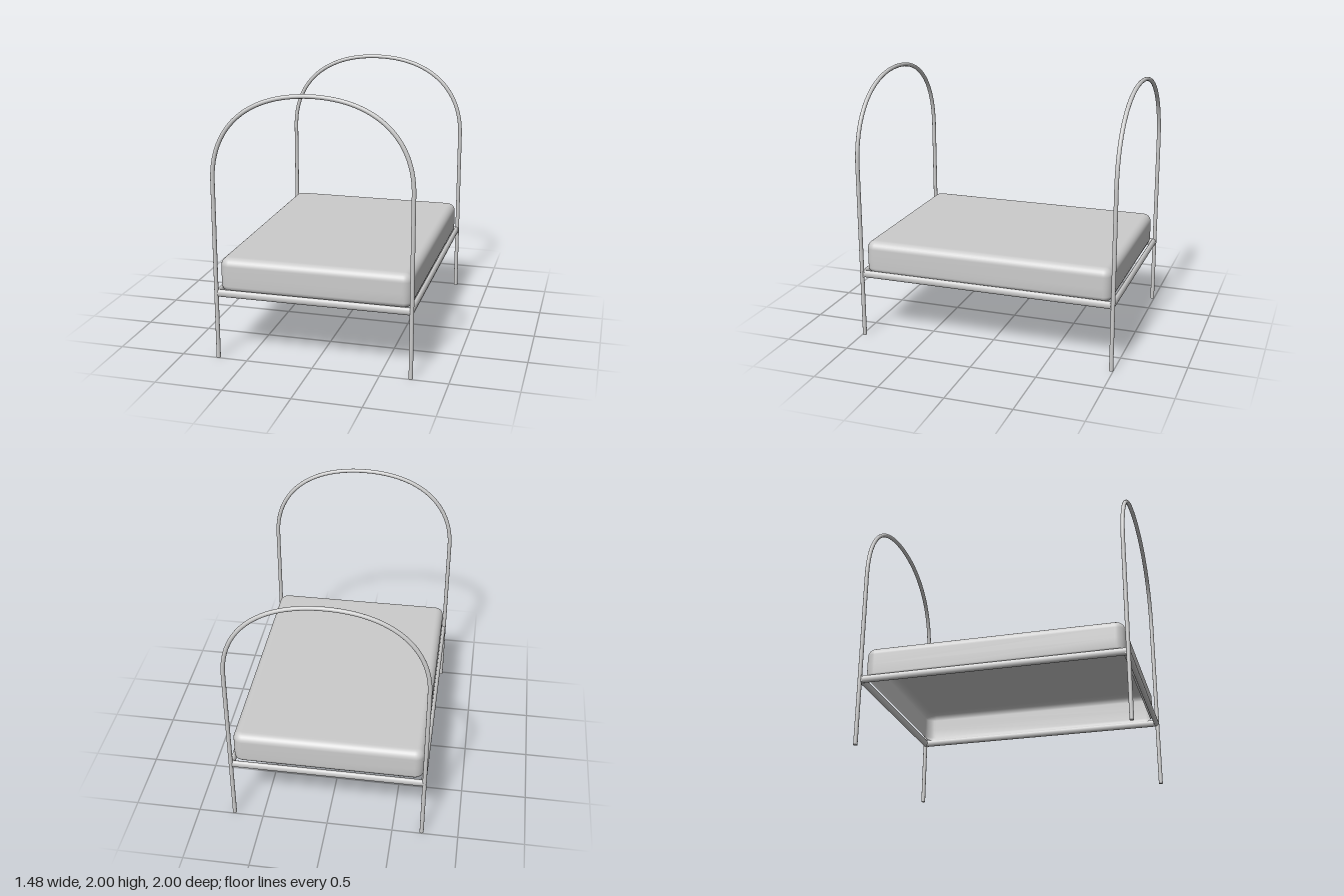
import * as THREE from 'three';

const metal = new THREE.MeshStandardMaterial({ color: 0xcccccc });
const shell = new THREE.MeshStandardMaterial({ color: 0xcccccc, side: THREE.DoubleSide });

const LEG_X = 0.725, LEG_Z = 0.984, TUBE_R = 0.0155;

function addMesh(parent, name, geometry, material = metal) {
  const mesh = new THREE.Mesh(geometry, material);
  mesh.name = name;
  parent.add(mesh);
  return mesh;
}

// One bent tube: two legs joined by a tall arch
function createArch(name, z) {
  const group = new THREE.Group();
  group.name = name;
  const spring = 1.35, top = 1.984, k = 0.62;
  const v = (x, y) => new THREE.Vector3(x, y, 0);
  const rise = spring + (top - spring) * k;
  const bend = [
    new THREE.CubicBezierCurve3(v(-LEG_X, spring), v(-LEG_X, rise), v(-LEG_X * k, top), v(0, top)),
    new THREE.CubicBezierCurve3(v(0, top), v(LEG_X * k, top), v(LEG_X, rise), v(LEG_X, spring)),
  ];
  const path = new THREE.CurvePath();
  path.add(new THREE.LineCurve3(v(-LEG_X, 0), v(-LEG_X, spring)));
  bend.forEach((curve) => path.add(curve));
  path.add(new THREE.LineCurve3(v(LEG_X, spring), v(LEG_X, 0)));
  addMesh(group, 'archTube', new THREE.TubeGeometry(path, 120, TUBE_R, 16));
  for (const side of [-1, 1]) {
    const foot = addMesh(group, 'footCap', new THREE.CircleGeometry(TUBE_R, 16));
    foot.rotation.x = Math.PI / 2;
    foot.position.x = side * LEG_X;
  }
  group.position.z = z;
  return group;
}

// Oval bar along z, taller than it is wide
function createRail(name, length) {
  const geometry = new THREE.CylinderGeometry(1, 1, length, 24);
  geometry.rotateX(Math.PI / 2);
  geometry.scale(0.019, 0.028, 1);
  const rail = new THREE.Mesh(geometry, metal);
  rail.name = name;
  rail.position.y = 0.504;
  return rail;
}

// Rounded cover, open underneath, lofted from rounded rectangles
function createMattress() {
  const halfX = 0.712, halfZ = 0.96, radius = 0.07, steps = 8;
  const sections = [[0.02, 0.515], [0.006, 0.53], [0, 0.55], [0, 0.62], [0, 0.7]]; // inset, height
  for (let i = 1; i <= 8; i++) {
    const a = (i / 8) * Math.PI / 2;
    sections.push([0.06 * (1 - Math.cos(a)), 0.7 + 0.06 * Math.sin(a)]);
  }
  sections.push([0.09, 0.76]);
  const positions = [], index = [];
  const ring = 4 * (steps + 1);
  for (const [inset, y] of sections) {
    const r = Math.max(radius - inset, 0.008);
    for (let q = 0; q < 4; q++) {
      const sx = q === 0 || q === 3 ? 1 : -1, sz = q < 2 ? 1 : -1;
      for (let s = 0; s <= steps; s++) {
        const a = (q + s / steps) * Math.PI / 2;
        positions.push(
          sx * (halfX - inset - r) + r * Math.cos(a), y,
          sz * (halfZ - inset - r) + r * Math.sin(a));
      }
    }
  }
  for (let i = 0; i < sections.length - 1; i++) {
    for (let j = 0; j < ring; j++) {
      const a = i * ring + j, b = i * ring + (j + 1) % ring;
      index.push(a, a + ring, b, b, a + ring, b + ring);
    }
  }
  // Flat top
  const last = (sections.length - 1) * ring, centre = positions.length / 3;
  positions.push(0, 0.76, 0);
  for (let j = 0; j < ring; j++) index.push(centre, last + (j + 1) % ring, last + j);
  const geometry = new THREE.BufferGeometry();
  geometry.setAttribute('position', new THREE.Float32BufferAttribute(positions, 3));
  geometry.setIndex(index);
  geometry.computeVertexNormals();
  return geometry;
}

export function createModel() {
  const bed = new THREE.Group();
  bed.name = 'bed';

  // Arched ends
  bed.add(createArch('footArch', LEG_Z), createArch('headArch', -LEG_Z));

  // Frame rails
  for (const side of [-1, 1]) {
    const sideRail = createRail(side > 0 ? 'leftRail' : 'rightRail', 1.94);
    sideRail.position.x = side * 0.718;
    const endRail = createRail(side > 0 ? 'footRail' : 'headRail', 1.47);
    endRail.rotation.y = Math.PI / 2;
    endRail.position.z = side * 0.977;
    bed.add(sideRail, endRail);
  }

  addMesh(bed, 'mattress', createMattress(), shell);
  return bed;
}
